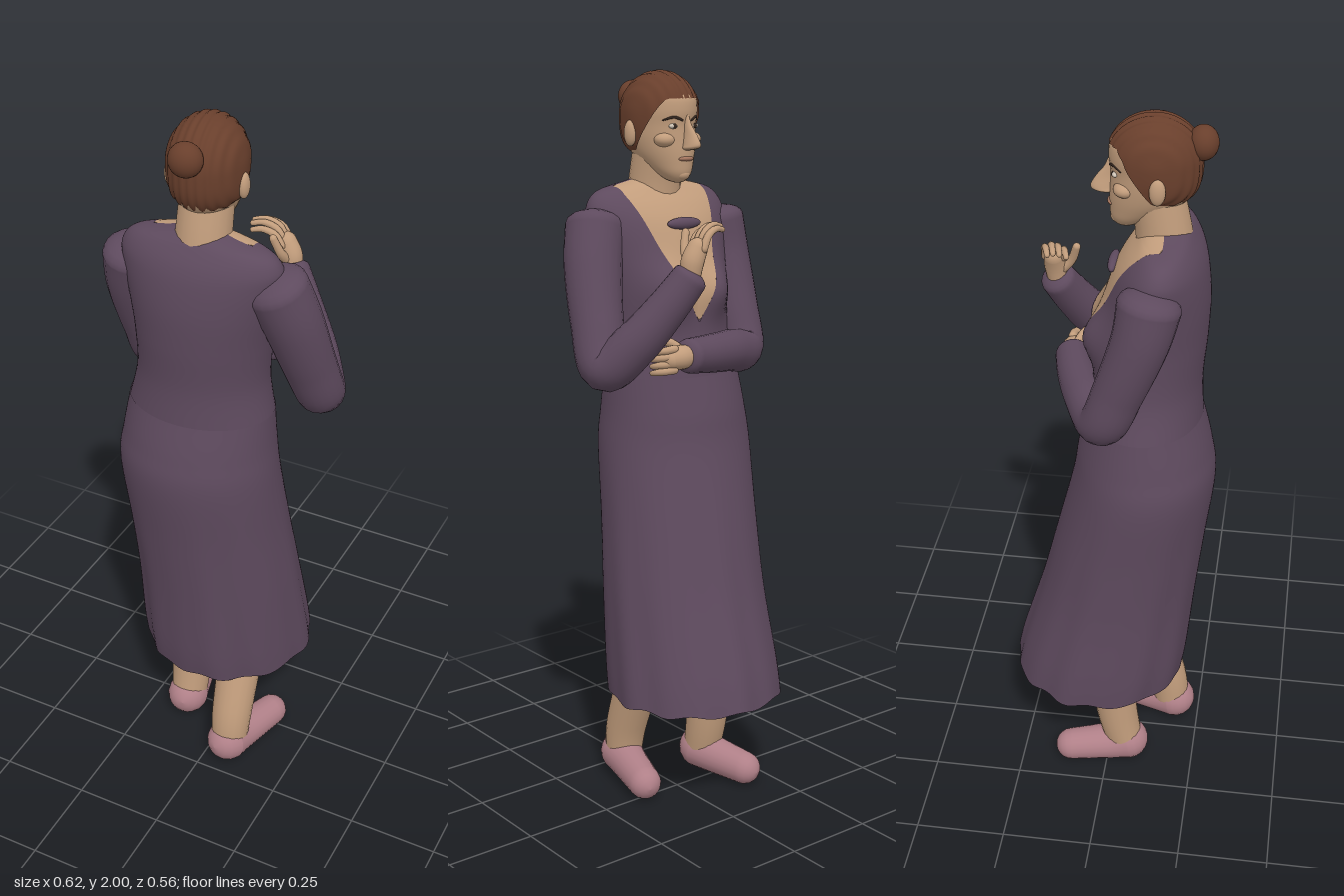
import * as THREE from 'three';

const mat = (name, color) => {
  const m = new THREE.MeshStandardMaterial({ color, side: THREE.DoubleSide });
  m.name = name;
  return m;
};

// Smooth surface from fn(u, v) -> [x, y, z]; u runs around, v runs up
function grid(nu, nv, closed, fn) {
  const pos = [], idx = [], cols = closed ? nu : nu + 1;
  for (let j = 0; j <= nv; j++)
    for (let i = 0; i < cols; i++) pos.push(...fn(i / nu, j / nv));
  for (let j = 0; j < nv; j++)
    for (let i = 0; i < nu; i++) {
      const k = (i + 1) % cols;
      const a = j * cols + i, b = j * cols + k, c = a + cols, d = b + cols;
      idx.push(a, c, b, b, c, d);
    }
  const g = new THREE.BufferGeometry();
  g.setAttribute('position', new THREE.Float32BufferAttribute(pos, 3));
  g.setIndex(idx);
  g.computeVertexNormals();
  return g;
}

// Smooth interpolation through a list of number rows
function at(rows, t) {
  const n = rows.length - 1, f = Math.min(Math.max(t, 0), 1) * n;
  const i = Math.min(Math.floor(f), n - 1), s = f - i;
  const r = k => rows[Math.min(Math.max(k, 0), n)];
  return rows[0].map((_, c) => {
    const p0 = r(i - 1)[c], p1 = r(i)[c], p2 = r(i + 1)[c], p3 = r(i + 2)[c];
    return p1 + 0.5 * s * (p2 - p0 + s * (2 * p0 - 5 * p1 + 4 * p2 - p3 + s * (3 * (p1 - p2) + p3 - p0)));
  });
}

// Elliptical ring point; angle 0 faces the front of the figure (-z)
const ring = ([y, cx, cz, rx, rz], a, k = 1) => [cx + Math.sin(a) * rx * k, y, cz - Math.cos(a) * rz * k];
const loft = (rows, nu = 32, nv = 24) => grid(nu, nv, true, (u, v) => ring(at(rows, v), u * Math.PI * 2));

// Round limb through [x, y, z, radius] points, with domed ends
function limb(rows, { sides = 20, steps = 32, cap = 1 } = {}) {
  const rings = [], T = new THREE.Vector3(), prev = new THREE.Vector3(0, 1, 0), q = new THREE.Quaternion();
  for (let j = 0; j <= steps; j++) {
    const t = j / steps, p = at(rows, t), e = 0.01;
    const a = at(rows, t - e), b = at(rows, t + e);
    T.set(b[0] - a[0], b[1] - a[1], b[2] - a[2]).normalize();
    q.premultiply(new THREE.Quaternion().setFromUnitVectors(prev, T));
    prev.copy(T);
    const add = (off, k) => rings.push({
      c: new THREE.Vector3(p[0], p[1], p[2]).addScaledVector(T, off * p[3] * cap), r: p[3] * k, q: q.clone() });
    if (j === 0) for (let i = 0; i < 5; i++) add(-Math.cos(i * Math.PI / 10), Math.sin(i * Math.PI / 10));
    add(0, 1);
    if (j === steps) for (let i = 4; i >= 0; i--) add(Math.cos(i * Math.PI / 10), Math.sin(i * Math.PI / 10));
  }
  const n = rings.length - 1, w = new THREE.Vector3();
  return grid(sides, n, true, (u, v) => {
    const R = rings[Math.round(v * n)], a = u * Math.PI * 2;
    w.set(Math.sin(a) * R.r, 0, -Math.cos(a) * R.r).applyQuaternion(R.q).add(R.c);
    return [w.x, w.y, w.z];
  });
}

const blob = (x, y, z, sx, sy, sz) => new THREE.SphereGeometry(1, 24, 16).scale(sx, sy, sz).translate(x, y, z);

export function createModel() {
  const root = new THREE.Group();
  const purple = mat('plum cloth', 0x5e4a5e), skin = mat('skin', 0xc29d7c), brown = mat('brown hair', 0x693f2c);
  const pink = mat('pink slipper', 0xb08088), dark = mat('dark eye', 0x33261f);
  const white = mat('eye white', 0xcfc4b6), lipMat = mat('lip', 0xa5765f);
  const add = (name, geo, m, parent = root) => {
    const mesh = new THREE.Mesh(geo, m);
    mesh.name = name;
    parent.add(mesh);
    return mesh;
  };

  // Skirt with folds that deepen toward the hem
  const skirtRows = [
    [0.31, -0.035, -0.035, 0.242, 0.242], [0.4, -0.037, -0.018, 0.24, 0.238], [0.6, -0.04, 0.02, 0.23, 0.218],
    [0.8, -0.05, 0.055, 0.224, 0.204], [1.0, -0.06, 0.09, 0.222, 0.191], [1.1, -0.057, 0.092, 0.211, 0.177],
    [1.2, -0.05, 0.09, 0.2, 0.152]];
  const fold = (y, a) => 1 + 0.02 * Math.max(0, 1 - y) * (Math.sin(9 * a + 0.6) + 0.6 * Math.sin(14 * a));
  const skirtPoint = (a, v) => {
    const r = at(skirtRows, v), p = ring(r, a, fold(r[0], a));
    p[1] += 0.005 * Math.sin(11 * a) * (1 - v) ** 6;
    return p;
  };
  add('skirt', grid(96, 40, true, (u, v) => skirtPoint(u * Math.PI * 2, v)), purple);
  add('skirtUnderside', grid(96, 2, true, (u, v) => {
    const p = skirtPoint(u * Math.PI * 2, 0);
    return [-0.035 + (p[0] + 0.035) * v, 0.325 + (p[1] - 0.325) * v, -0.035 + (p[2] + 0.035) * v];
  }), purple);

  // Bodice, open at the front in a deep V that shows the chest
  const bodiceRows = [
    [1.19, -0.05, 0.09, 0.2, 0.152], [1.3, -0.042, 0.095, 0.18, 0.142], [1.42, -0.035, 0.105, 0.185, 0.141],
    [1.52, -0.03, 0.115, 0.2, 0.134], [1.6, -0.027, 0.123, 0.215, 0.118], [1.65, -0.025, 0.13, 0.215, 0.097],
    [1.688, -0.023, 0.135, 0.18, 0.07], [1.71, -0.02, 0.135, 0.09, 0.05], [1.72, -0.02, 0.13, 0.05, 0.03]];
  const bodicePoint = (r, a) => {
    const p = ring(r, a), front = Math.max(0, Math.cos(a));
    const side = Math.exp(-(((Math.abs(p[0] + 0.03) - 0.085) / 0.055) ** 2));
    p[2] -= front * (0.012 + 0.035 * side) * Math.exp(-(((p[1] - 1.43) / 0.07) ** 2));
    return p;
  };
  const vAngle = r => {
    const s = Math.min(Math.max((r[0] - 1.35) / 0.33, 0), 1);
    return Math.asin(Math.min(1, 0.135 * s ** 0.8 / r[3]));
  };
  add('bodice', grid(72, 64, false, (u, v) => {
    const r = at(bodiceRows, v), a = vAngle(r);
    return bodicePoint(r, a + u * (Math.PI * 2 - 2 * a));
  }), purple);
  add('chest', grid(28, 48, false, (u, v) => {
    const r = at(bodiceRows, 0.18 + 0.82 * v), a = vAngle(r);
    return bodicePoint(r, (2 * u - 1) * a);
  }), skin);
  add('neckOrnament', blob(-0.025, 1.605, 0.002, 0.055, 0.016, 0.014), purple);
  add('neck', limb([[-0.022, 1.62, 0.135, 0.075], [-0.021, 1.72, 0.122, 0.07], [-0.02, 1.82, 0.1, 0.068]]), skin);

  // Sleeves: one forearm raised, the other across the waist
  add('raisedSleeve', limb([
    [0.175, 1.6, 0.125, 0.08], [0.205, 1.5, 0.095, 0.077], [0.23, 1.36, 0.045, 0.07], [0.244, 1.25, -0.008, 0.064],
    [0.195, 1.315, -0.075, 0.06], [0.135, 1.405, -0.125, 0.053], [0.085, 1.485, -0.16, 0.047]], { steps: 48, cap: 0.5 }), purple);
  add('foldedSleeve', limb([
    [-0.225, 1.595, 0.115, 0.08], [-0.238, 1.5, 0.095, 0.073], [-0.238, 1.36, 0.045, 0.066], [-0.226, 1.255, 0.0, 0.062],
    [-0.13, 1.26, -0.055, 0.056], [-0.03, 1.268, -0.095, 0.051], [0.055, 1.275, -0.12, 0.046]], { steps: 48, cap: 0.5 }), purple);

  // Hands: a palm, four bent fingers and a thumb
  const finger = (name, pts, r, parent) => add(name,
    limb(pts.map((p, i) => [...p, r * (1 - 0.12 * i)]), { sides: 10, steps: 10 }), skin, parent);
  const raised = new THREE.Group(), folded = new THREE.Group();
  raised.name = 'raisedHand';
  folded.name = 'foldedHand';
  root.add(raised, folded);
  add('palm', limb([[0.085, 1.48, -0.16, 0.026], [0.08, 1.525, -0.164, 0.03], [0.065, 1.56, -0.166, 0.027]]), skin, raised);
  add('palm', limb([[0.05, 1.275, -0.12, 0.028], [0.085, 1.275, -0.122, 0.032], [0.115, 1.272, -0.118, 0.027]]), skin, folded);
  for (let i = 0; i < 4; i++) {
    const z = -0.187 + 0.016 * i, len = [0.85, 1, 0.95, 0.75][i], y = 1.3 - 0.018 * i;
    finger('finger', [[0.062, 1.56, z], [0.045, 1.562 + 0.035 * len, z + 0.002],
      [0.022 - 0.01 * len, 1.56 + 0.055 * len, z + 0.01], [0.018 - 0.038 * len, 1.56 + 0.05 * len, z + 0.018]], 0.0115, raised);
    finger('finger', [[0.11, y, -0.128], [0.135, y - 0.002, -0.125], [0.15, y - 0.006, -0.108], [0.152, y - 0.01, -0.09]], 0.0115, folded);
  }
  finger('thumb', [[0.075, 1.52, -0.145], [0.07, 1.55, -0.12], [0.055, 1.595, -0.105]], 0.0135, raised);
  finger('thumb', [[0.08, 1.295, -0.11], [0.1, 1.312, -0.1], [0.125, 1.315, -0.09]], 0.013, folded);

  // Head, turned slightly
  const head = new THREE.Group();
  head.name = 'head';
  head.position.set(-0.02, 0, 0.1);
  head.rotation.y = 0.08;
  root.add(head);
  add('face', loft([
    [1.71, 0, -0.07, 0.008, 0.008], [1.717, 0, -0.066, 0.026, 0.028], [1.735, 0, -0.053, 0.044, 0.052],
    [1.76, 0, -0.03, 0.06, 0.078], [1.79, 0, -0.01, 0.074, 0.099], [1.825, 0, 0, 0.083, 0.107],
    [1.86, 0, 0, 0.086, 0.106], [1.9, 0, 0, 0.089, 0.111], [1.94, 0, 0, 0.082, 0.1], [1.98, 0, 0, 0.04, 0.04]], 40, 40), skin, head);
  add('nose', loft([
    [1.794, 0, -0.108, 0.004, 0.004], [1.8, 0, -0.119, 0.018, 0.025], [1.81, 0, -0.124, 0.017, 0.031],
    [1.835, 0, -0.117, 0.011, 0.025], [1.86, 0, -0.108, 0.008, 0.014], [1.885, 0, -0.103, 0.006, 0.008]], 20, 20), skin, head);
  add('lips', blob(0, 1.773, -0.1, 0.026, 0.008, 0.014), lipMat, head);
  add('chin', blob(0, 1.732, -0.088, 0.022, 0.016, 0.018), skin, head);
  for (const s of [-1, 1]) {
    add('eye', blob(s * 0.036, 1.857, -0.093, 0.015, 0.007, 0.008), white, head);
    add('iris', blob(s * 0.036, 1.857, -0.0985, 0.006, 0.0065, 0.004), dark, head);
    add('eyebrow', limb([[s * 0.016, 1.872, -0.106, 0.003], [s * 0.038, 1.88, -0.097, 0.004], [s * 0.06, 1.872, -0.079, 0.002]],
      { sides: 8, steps: 12 }), dark, head);
    add('cheek', blob(s * 0.045, 1.822, -0.07, 0.03, 0.02, 0.028), skin, head);
    add('ear', blob(s * 0.095, 1.838, 0.01, 0.014, 0.034, 0.02), skin, head);
  }

  // Combed-back hair cap with a hairline, and a bun
  add('hair', grid(112, 32, true, (u, v) => {
    const a = u * Math.PI * 2, off = Math.abs(Math.atan2(Math.sin(a), Math.cos(a)));
    const line = 1.928 - 0.138 * THREE.MathUtils.smoothstep(off, 0.55, 1.75);
    const t0 = (line - 1.885) / 0.115, t = Math.sin(Math.asin(t0) + (Math.PI / 2 - Math.asin(t0)) * v);
    const k = t > 0 ? Math.sqrt(Math.max(0, 1 - t * t)) : Math.cbrt(1 + t ** 3);
    const x = Math.sin(a) * 0.098 * k, strand = 0.0018 * Math.cos(x * 300);
    return [x * (1 + strand * 6), 1.885 + t * (0.113 + strand), -Math.cos(a) * k * (0.117 + strand)];
  }), brown, head);
  add('bun', blob(-0.008, 1.93, 0.115, 0.043, 0.043, 0.038), brown, head);

  // Legs and turned-out slippers
  const step = (name, x, z, toeX, toeZ, lean) => {
    add(name + 'Leg', limb([[x, 0.08, z - 0.012, 0.054], [x, 0.17, z - 0.03, 0.059], [x - 0.003, 0.36, z - lean, 0.065]]), skin);
    add(name + 'Slipper', limb([[x, 0.062, z, 0.061], [(x * 2 + toeX) / 3, 0.053, (z * 2 + toeZ) / 3, 0.053],
      [toeX, 0.045, toeZ, 0.046]]), pink);
  };
  step('left', 0.066, 0.178, 0.12, -0.005, 0.1);
  step('right', -0.132, 0.058, -0.163, -0.106, 0.055);
  return root;
}
